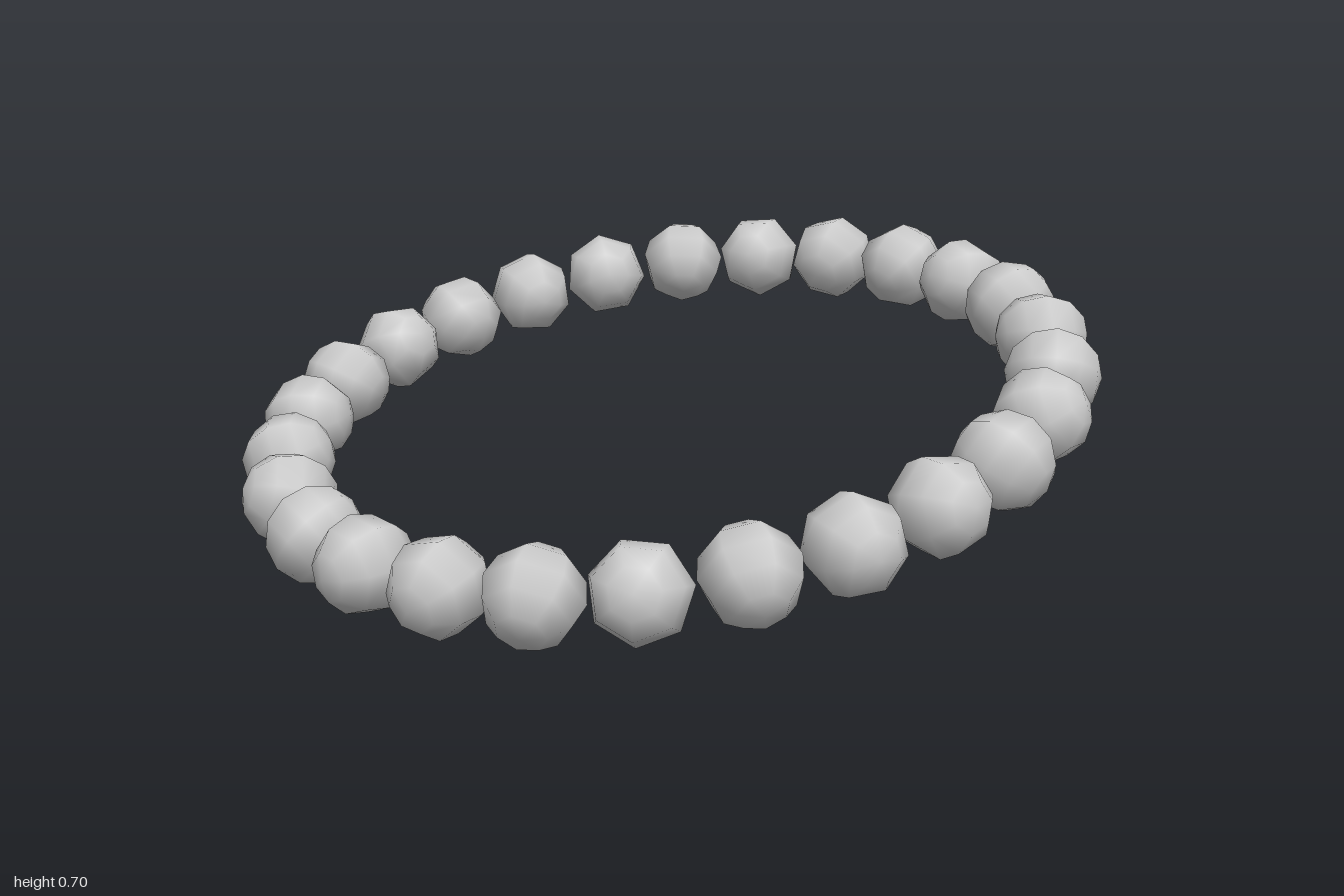
import * as THREE from 'three';

const BEADS = 26;
const RING_RADIUS = 0.895;
const BEAD_RADIUS = 0.109;
const TILT = THREE.MathUtils.degToRad(16);

export function createModel() {
  const model = new THREE.Group();
  model.name = 'beadBracelet';
  const material = new THREE.MeshStandardMaterial({ color: 0xcccccc });

  // Coarse seven-sided bead with smooth normals, its poles facing in and out of the ring
  const beadShape = new THREE.SphereGeometry(BEAD_RADIUS, 7, 6);
  beadShape.rotateX(Math.PI / 2);

  // Tilted ring, raised at the back
  const ring = new THREE.Group();
  ring.name = 'beadRing';
  ring.position.set(0, 0.36, -0.003);
  ring.rotation.x = TILT;
  model.add(ring);

  // Beads evenly spaced around the ring, each rolled a little on the string
  for (let i = 0; i < BEADS; i++) {
    const angle = (i / BEADS) * Math.PI * 2;
    const bead = new THREE.Mesh(beadShape, material);
    bead.name = `bead${i + 1}`;
    bead.position.set(Math.sin(angle) * RING_RADIUS, 0, Math.cos(angle) * RING_RADIUS);
    bead.rotation.set(0.5 * Math.sin(i * 2.4), angle, i * 0.24, 'YXZ');
    ring.add(bead);
  }
  return model;
}
